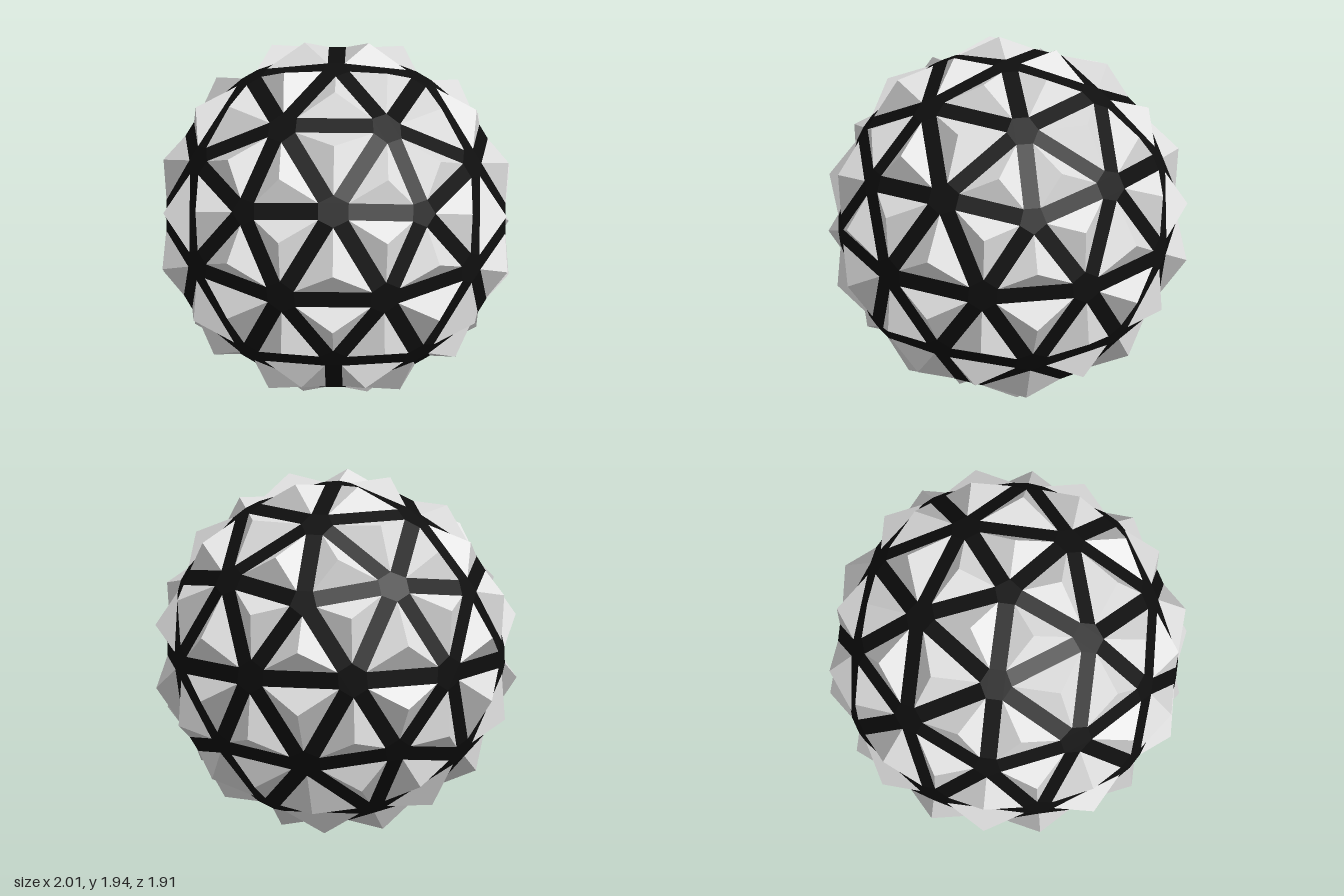
import * as THREE from 'three';
import { ConvexGeometry } from 'three/addons/geometries/ConvexGeometry.js';

const RADIUS = 0.972;   // geodesic nodes
const APEX = 1.018;     // pyramid tips
const INSET = 0.048;    // half the strut width
const CENTRE_Y = 0.971;

// Corners of an icosahedron standing on one tip
function icosahedronFaces() {
  const ring = (y, start) => Array.from({ length: 5 }, (_, k) => {
    const a = start + k * Math.PI * 0.4;
    return new THREE.Vector3(Math.cos(a) * 2 / Math.sqrt(5), y, Math.sin(a) * 2 / Math.sqrt(5));
  });
  const top = new THREE.Vector3(0, 1, 0), bottom = new THREE.Vector3(0, -1, 0);
  const up = ring(1 / Math.sqrt(5), 0), low = ring(-1 / Math.sqrt(5), Math.PI / 5);
  const faces = [];
  for (let k = 0; k < 5; k++) {
    const n = (k + 1) % 5;
    faces.push([top, up[k], up[n]], [up[k], up[n], low[k]],
      [low[k], low[n], up[n]], [bottom, low[k], low[n]]);
  }
  return faces;
}

// Split each face into four on the sphere, wound to face outward
function geodesicFaces() {
  const mid = (a, b) => a.clone().add(b).normalize();
  const out = [];
  for (const [a, b, c] of icosahedronFaces()) {
    const ab = mid(a, b), bc = mid(b, c), ca = mid(c, a);
    out.push([a, ab, ca], [ab, b, bc], [ca, bc, c], [ab, bc, ca]);
  }
  return out.map(([a, b, c]) => {
    const normal = b.clone().sub(a).cross(c.clone().sub(a));
    const tri = normal.dot(a) > 0 ? [a, b, c] : [a, c, b];
    return tri.map(v => v.clone().multiplyScalar(RADIUS));
  });
}

// Move a triangle's corners inward so every edge shifts by the same distance
function insetTriangle(tri) {
  return tri.map((p, i) => {
    const u = tri[(i + 1) % 3].clone().sub(p).normalize();
    const v = tri[(i + 2) % 3].clone().sub(p).normalize();
    const s = INSET / Math.sin(u.angleTo(v));
    return p.clone().addScaledVector(u, s).addScaledVector(v, s);
  });
}

export function createModel() {
  const model = new THREE.Group();
  model.name = 'geodesicSphere';
  const panelGrey = new THREE.MeshStandardMaterial({ color: 0xe0e0e0 });
  panelGrey.name = 'panelGrey';
  const strutBlack = new THREE.MeshStandardMaterial({ color: 0x0f0f0f });
  strutBlack.name = 'strutBlack';

  const bases = geodesicFaces().map(insetTriangle);

  // Black struts: the flat bands and nodes left between the panels
  const frame = new THREE.Mesh(new ConvexGeometry(bases.flat()), strutBlack);
  frame.name = 'strutFrame';

  // Raised three-sided pyramid on every panel
  const points = [];
  for (const [a, b, c] of bases) {
    const tip = a.clone().add(b).add(c).setLength(APEX);
    points.push(a, b, tip, b, c, tip, c, a, tip);
  }
  const geometry = new THREE.BufferGeometry().setFromPoints(points);
  geometry.computeVertexNormals();
  const panels = new THREE.Mesh(geometry, panelGrey);
  panels.name = 'pyramidPanels';

  for (const mesh of [frame, panels]) {
    mesh.position.y = CENTRE_Y;
    model.add(mesh);
  }
  return model;
}
